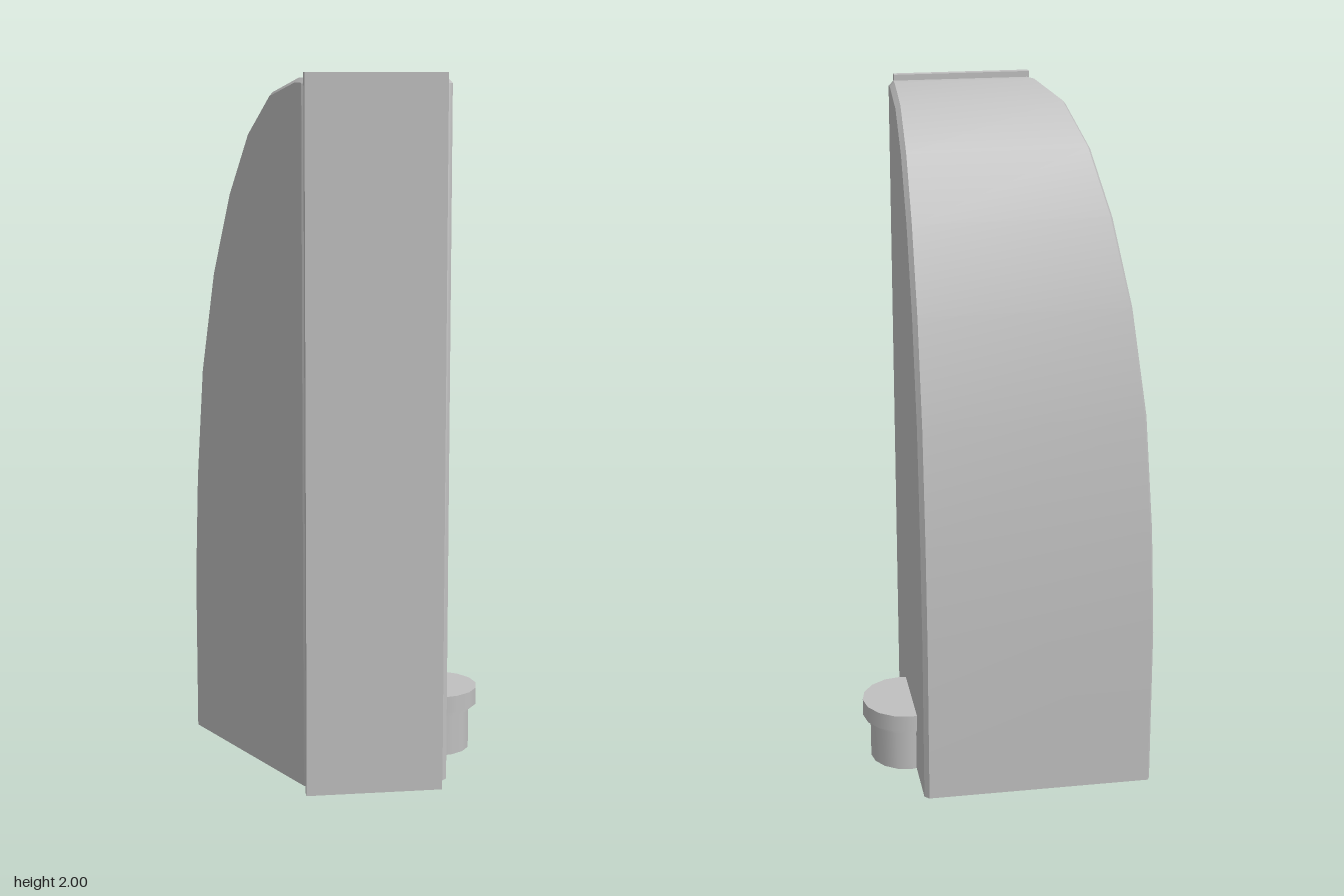
import * as THREE from 'three';
import { toCreasedNormals } from 'three/addons/utils/BufferGeometryUtils.js';

const BASE = 0.02;

// side outline as [z, y]: up the front, over the curved back, down to the base
const OUTLINE = [
  [0.29, BASE], [0.29, 1.97], [0.275, 1.985], [0.243, 1.985], [0.117, 1.945],
  [0.005, 1.835], [-0.095, 1.66], [-0.185, 1.425], [-0.254, 1.13],
  [-0.29, 0.8], [-0.307, 0.49], [-0.307, BASE],
];

// move the outline inwards, leaving the base flat
function inset(points, d) {
  const last = points.length - 1;
  return points.map(([z, y], i) => {
    const p = points[Math.max(i - 1, 0)], n = points[Math.min(i + 1, last)];
    const dz = n[0] - p[0], dy = n[1] - p[1], len = Math.hypot(dz, dy);
    return [z - (d * dy) / len, i === 0 || i === last ? BASE : y + (d * dz) / len];
  });
}

// slanted left wall
const leftX = (z) => -0.142 - (0.29 - z) * 0.45;

function bodyGeometry() {
  const b = 0.013;
  const small = inset(OUTLINE, b);
  const rings = [
    small.map(([z, y]) => [leftX(z), y, z]),
    OUTLINE.map(([z, y]) => [leftX(z) + b, y, z]),
    OUTLINE.map(([z, y]) => [0.26 - b, y, z]),
    small.map(([z, y]) => [0.26, y, z]),
  ];
  const n = OUTLINE.length, index = [];
  for (let r = 0; r < 3; r++) {
    for (let i = 0; i < n; i++) {
      const j = (i + 1) % n;
      const p = r * n + i, q = r * n + j, s = p + n, t = q + n;
      index.push(p, s, t, p, t, q);
    }
  }
  // end walls
  for (let i = 1; i < n - 1; i++) {
    index.push(0, i, i + 1, 3 * n, 3 * n + i + 1, 3 * n + i);
  }
  const g = new THREE.BufferGeometry();
  g.setAttribute('position', new THREE.Float32BufferAttribute(rings.flat(2), 3));
  g.setIndex(index);
  return toCreasedNormals(g, 0.6);
}

export function createModel() {
  const model = new THREE.Group();
  const grey = new THREE.MeshStandardMaterial({ color: 0xc0c0c0 });
  grey.name = 'light grey';

  const add = (name, geometry, x = 0, y = 0, z = 0) => {
    const mesh = new THREE.Mesh(geometry, grey);
    mesh.name = name;
    mesh.position.set(x, y, z);
    model.add(mesh);
  };

  add('body', bodyGeometry());
  add('frontPlate', new THREE.BoxGeometry(0.386, 2, 0.025), 0.05, 1, 0.295);

  // round spout half sunk into the right wall
  const spout = (name, radius, y0, y1) =>
    add(name, new THREE.CylinderGeometry(radius, radius, y1 - y0, 16), 0.275, (y0 + y1) / 2, -0.02);
  spout('spoutStem', 0.108, BASE, 0.142);
  spout('spoutCollar', 0.115, 0.142, 0.155);
  spout('spoutCap', 0.13, 0.155, 0.205);

  return model;
}
